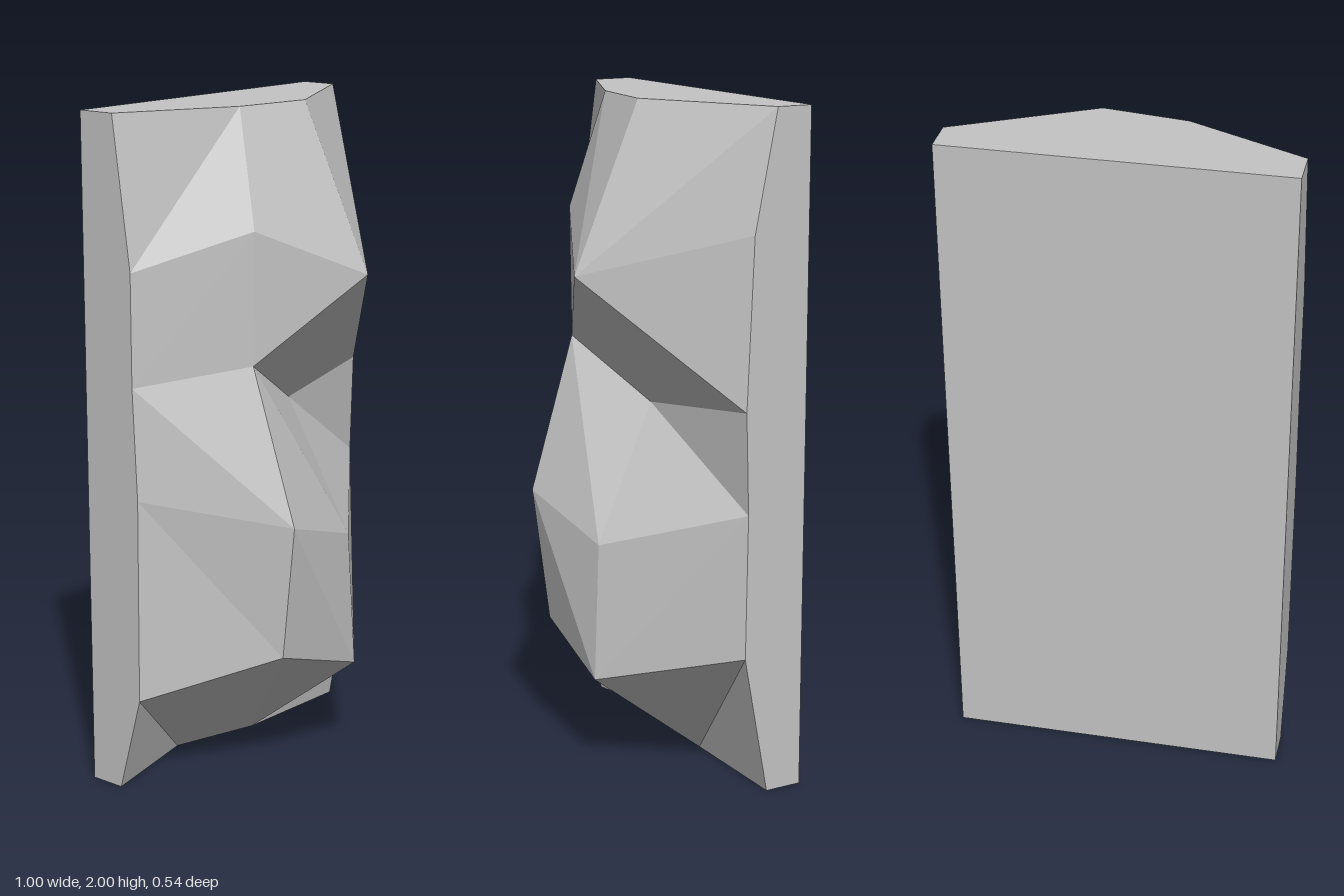
import * as THREE from 'three';

const BACK = -0.27;

// Rows of the chiselled front, bottom to top; each point is [x, y, z]
const ROWS = [
  [[-0.5, 0, -0.16], [-0.16, 0, -0.24], [0.11, 0, -0.165], [0.5, 0, -0.155]],
  [[-0.5, 0.29, -0.08], [-0.18, 0.4, 0.2], [0.14, 0.3, 0.22], [0.5, 0.42, -0.075]],
  [[-0.5, 0.9, -0.075], [-0.19, 0.81, 0.25], [0.13, 0.71, 0.2], [0.5, 0.85, -0.08]],
  [[-0.5, 1.23, -0.09], [-0.2, 1.27, 0.105], [0.09, 1.11, 0], [0.5, 1.15, -0.07]],
  [[-0.5, 1.56, -0.09], [-0.2, 1.66, 0.11], [0.12, 1.51, 0.27], [0.5, 1.65, -0.09]],
  [[-0.5, 2, -0.15], [-0.15, 2, 0.015], [0.1, 2, 0.05], [0.5, 2, -0.16]],
];

// Fold direction of each cell: '/' rises to the right, '\' falls to the right
const FOLDS = ['\\\\/', '\\\\/', '\\\\\\', '//\\', '/\\/'];

function facetGeometry(triangles) {
  const geometry = new THREE.BufferGeometry();
  geometry.setAttribute('position', new THREE.Float32BufferAttribute(triangles.flat(2), 3));
  geometry.computeVertexNormals();
  return geometry;
}

export function createModel() {
  const group = new THREE.Group();
  group.name = 'rockSlab';
  const stone = new THREE.MeshStandardMaterial({ color: 0xc4c4c4, flatShading: true });
  stone.name = 'grey stone';

  const add = (name, triangles) => {
    const mesh = new THREE.Mesh(facetGeometry(triangles), stone);
    mesh.name = name;
    group.add(mesh);
  };

  // Faceted front
  const front = [];
  for (let r = 0; r < 5; r++) {
    for (let c = 0; c < 3; c++) {
      const a = ROWS[r][c], b = ROWS[r][c + 1];
      const d = ROWS[r + 1][c], e = ROWS[r + 1][c + 1];
      if (FOLDS[r][c] === '/') front.push([a, b, e], [a, e, d]);
      else front.push([a, b, d], [b, e, d]);
    }
  }
  add('rockFace', front);

  // Flat walls joining the outline of the front to the back plane
  const toBack = ([x, y]) => [x, y, BACK];
  const wall = (edge) => edge.slice(1).flatMap((q, i) => {
    const p = edge[i];
    return [[p, toBack(p), toBack(q)], [p, toBack(q), q]];
  });
  add('bottomWall', wall(ROWS[0]));
  add('leftWall', wall(ROWS.map((row) => row[3])));
  add('topWall', wall([...ROWS[5]].reverse()));
  add('rightWall', wall(ROWS.map((row) => row[0]).reverse()));

  // Plain back
  const [p, q, s, t] = [[-0.5, 0, BACK], [0.5, 0, BACK], [0.5, 2, BACK], [-0.5, 2, BACK]];
  add('backPanel', [[p, s, q], [p, t, s]]);

  return group;
}
